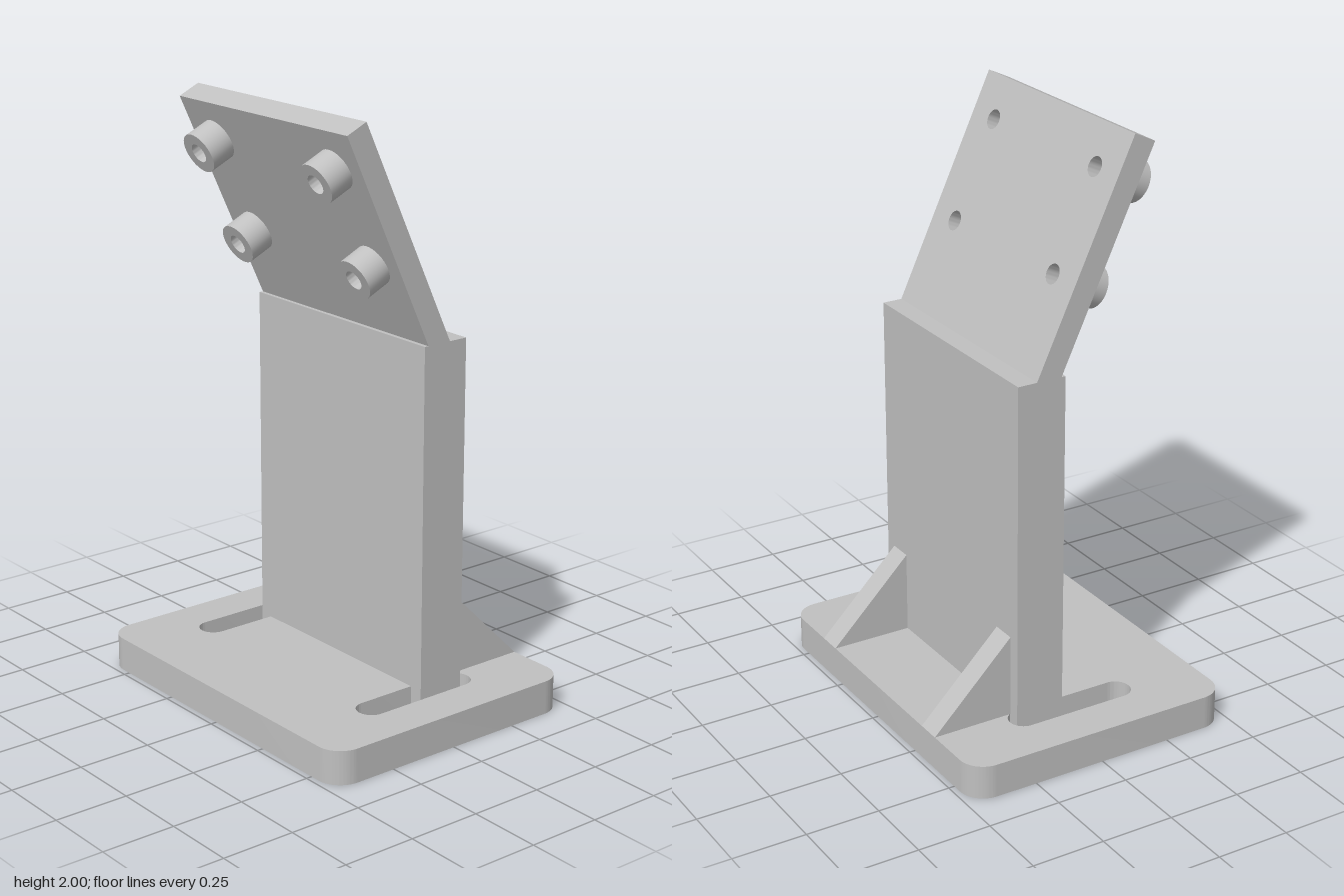
import * as THREE from 'three';
import { toCreasedNormals } from 'three/addons/utils/BufferGeometryUtils.js';

const steel = new THREE.MeshStandardMaterial({ color: 0xc0c0c0 });
steel.name = 'light grey';

// Rounded rectangle outline centred on (cx, cy)
function roundedRect(Type, cx, cy, w, h, r) {
  const p = new Type(), x = w / 2 - r, y = h / 2 - r;
  p.absarc(cx + x, cy + y, r, 0, Math.PI / 2);
  p.absarc(cx - x, cy + y, r, Math.PI / 2, Math.PI);
  p.absarc(cx - x, cy - y, r, Math.PI, Math.PI * 1.5);
  p.absarc(cx + x, cy - y, r, Math.PI * 1.5, Math.PI * 2);
  p.closePath();
  return p;
}

function circle(Type, x, y, r) {
  return new Type().absarc(x, y, r, 0, Math.PI * 2);
}

function extrude(name, shape, depth) {
  const g = new THREE.ExtrudeGeometry(shape, { depth, bevelEnabled: false, curveSegments: 16 });
  const mesh = new THREE.Mesh(toCreasedNormals(g, 0.6), steel);
  mesh.name = name;
  return mesh;
}

export function createModel() {
  const model = new THREE.Group();
  model.name = 'mountingBracket';
  const baseH = 0.115, colTop = 1.27, halfW = 0.422;

  // Base plate with two long slots
  const baseShape = roundedRect(THREE.Shape, 0, 0, 1.24, 0.96, 0.085);
  for (const s of [-1, 1]) {
    baseShape.holes.push(roundedRect(THREE.Path, s * 0.424, 0, 0.1, 0.456, 0.0495));
  }
  const base = extrude('basePlate', baseShape, baseH);
  base.rotation.x = -Math.PI / 2;
  model.add(base);

  // Upright column, running down through the slots
  const column = new THREE.Mesh(new THREE.BoxGeometry(halfW * 2, colTop, 0.17), steel);
  column.name = 'column';
  column.position.set(0, colTop / 2, -0.115);
  model.add(column);

  // Triangular ribs behind the column
  const ribShape = new THREE.Shape([[0.2, baseH], [0.48, baseH], [0.2, 0.395]]
    .map(([x, y]) => new THREE.Vector2(x, y)));
  for (const s of [-1, 1]) {
    const rib = extrude(s > 0 ? 'leftRib' : 'rightRib', ribShape, 0.084);
    rib.rotation.y = Math.PI / 2; // profile x runs towards the back
    rib.position.x = s * 0.338 - 0.042;
    model.add(rib);
  }

  // Tilted head: origin at the top front edge, local y up the slope
  const head = new THREE.Group();
  head.name = 'tiltedHead';
  head.position.set(0, 1.966, 0.28);
  head.rotation.x = THREE.MathUtils.degToRad(25);
  model.add(head);

  const plateShape = new THREE.Shape([[-halfW, -0.82], [halfW, -0.82], [halfW, 0], [-halfW, 0]]
    .map(([x, y]) => new THREE.Vector2(x, y)));
  for (const x of [-0.296, 0.296]) {
    for (const y of [-0.14, -0.49]) {
      plateShape.holes.push(circle(THREE.Path, x, y, 0.033));
      // Hollow standoff in front of each hole
      const ring = circle(THREE.Shape, x, y, 0.07);
      ring.holes.push(circle(THREE.Path, x, y, 0.033));
      head.add(extrude('standoff', ring, 0.086));
    }
  }
  const plate = extrude('headPlate', plateShape, 0.08);
  plate.position.z = -0.08;
  head.add(plate);

  return model;
}
